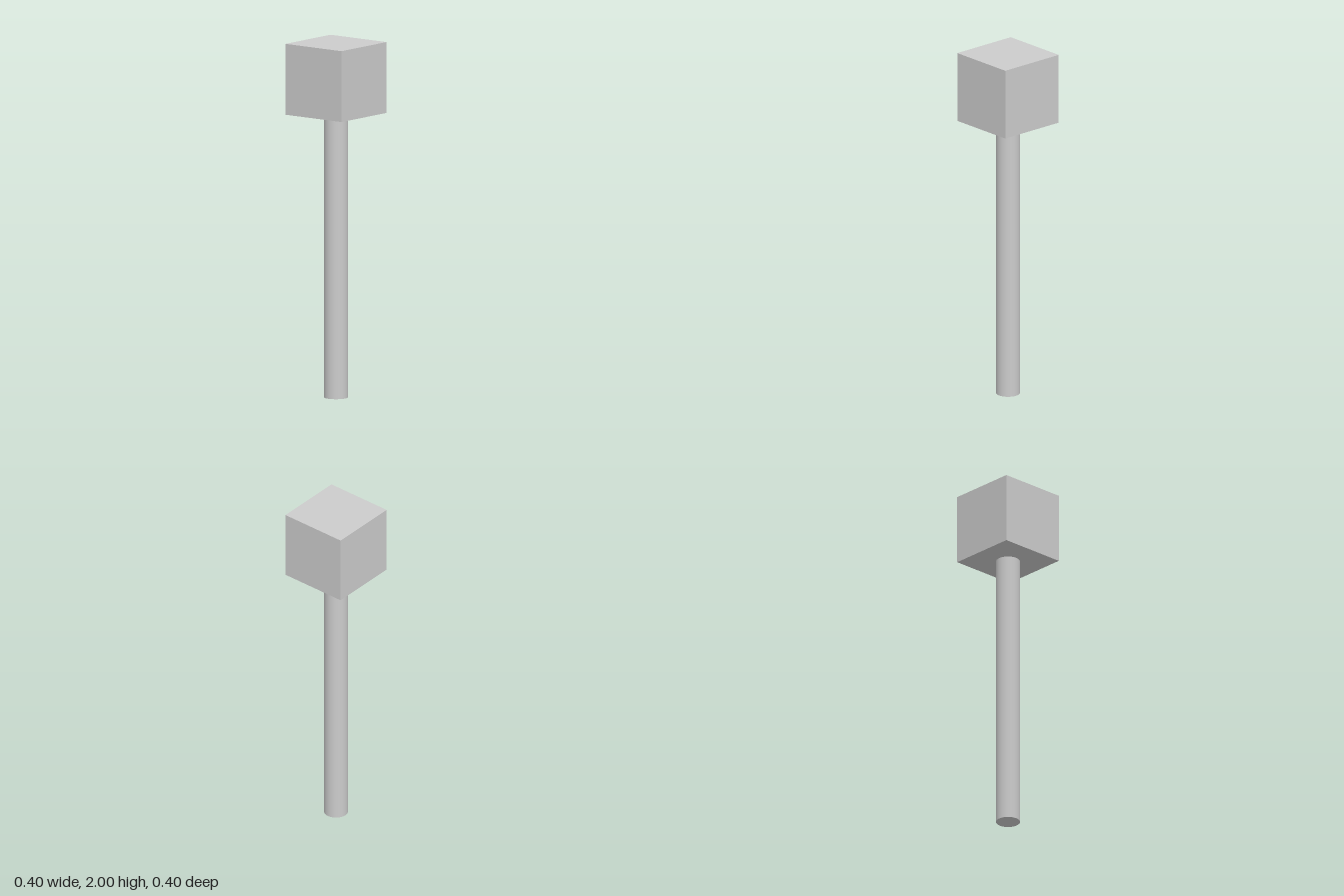
import * as THREE from 'three';

export function createModel() {
  const group = new THREE.Group();
  const material = new THREE.MeshStandardMaterial({ color: 0xcccccc });

  const headSize = 0.4;
  const shaftHeight = 1.6;
  const shaftRadius = 0.067;

  const addPart = (name, geometry, y) => {
    const mesh = new THREE.Mesh(geometry, material);
    mesh.name = name;
    mesh.position.y = y;
    group.add(mesh);
  };

  // Round shaft standing on the ground
  addPart('shaft', new THREE.CylinderGeometry(shaftRadius, shaftRadius, shaftHeight, 32), shaftHeight / 2);

  // Cube head resting on the shaft
  addPart('head', new THREE.BoxGeometry(headSize, headSize, headSize), shaftHeight + headSize / 2);

  return group;
}
